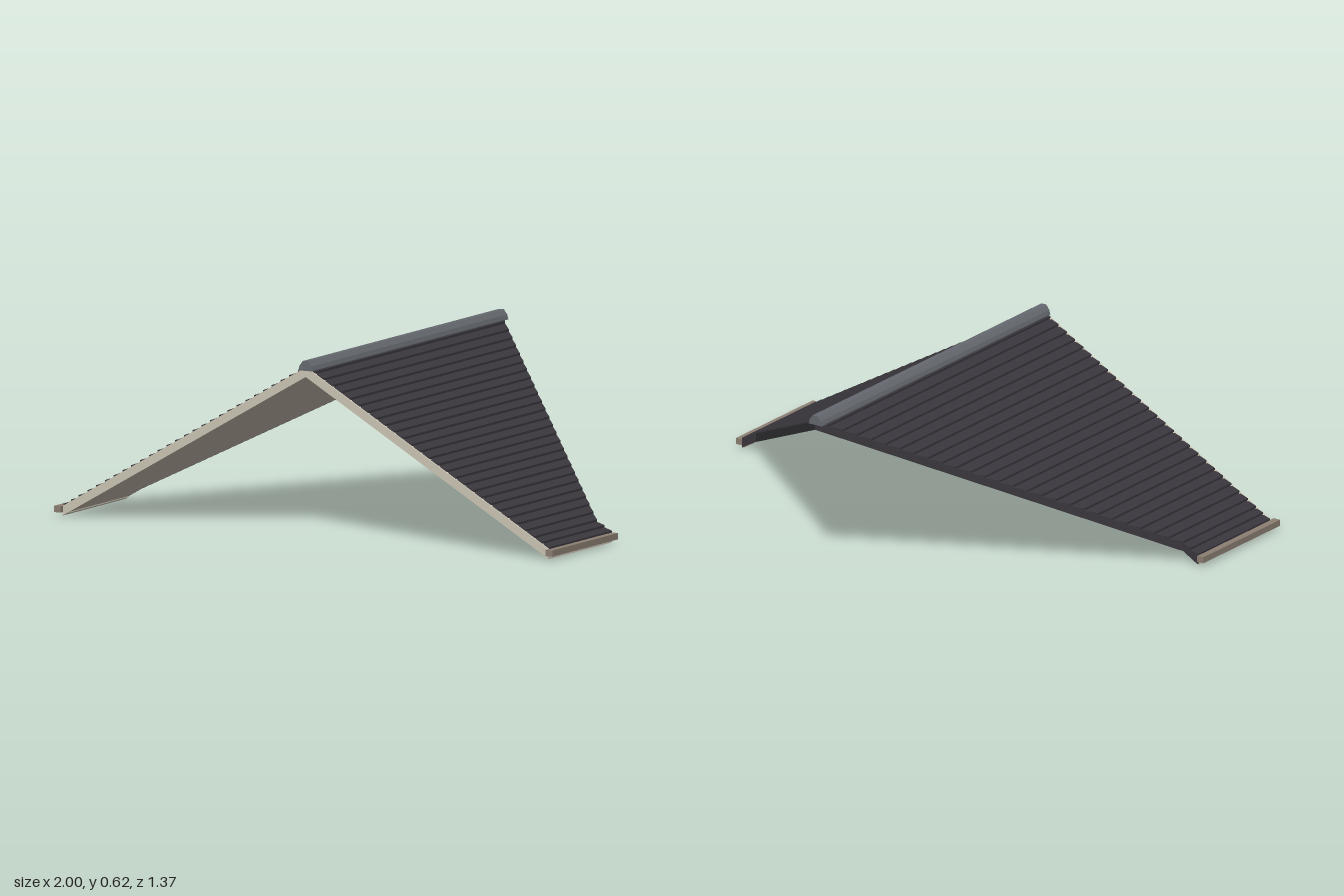
import * as THREE from 'three';

const PITCH = Math.tan(Math.PI / 6); // 30 degree roof
const EAVE = 0.975, NOTCH = 0.915, FRONT = 0.667;

const material = (name, color) => {
  const m = new THREE.MeshStandardMaterial({ color });
  m.name = name;
  return m;
};

// Plan outline [x, z] extruded between two heights that depend on |x|
function planPrism(name, outline, side, bottom, top, mat) {
  const shape = new THREE.Shape(outline.map(([x, z]) => new THREE.Vector2(side * x, -z)));
  const geo = new THREE.ExtrudeGeometry(shape, { depth: 1, bevelEnabled: false });
  const p = geo.attributes.position;
  for (let i = 0; i < p.count; i++) {
    const x = p.getX(i), z = -p.getY(i), a = Math.abs(x);
    p.setXYZ(i, x, p.getZ(i) > 0.5 ? top(a) : bottom(a), z);
  }
  geo.computeVertexNormals();
  const mesh = new THREE.Mesh(geo, mat);
  mesh.name = name;
  return mesh;
}

const slope = (h) => (x) => h - PITCH * x;
// Rear edge: diagonal from the ridge tip to a short straight eave
const rear = (x) => Math.min(-0.685 + x, 0.23);

export function createModel() {
  const tile = material('dark tile', 0x39373d);
  const cap = material('ridge grey', 0x666a70);
  const cream = material('cream board', 0xcdc6b6);
  const gutterMat = material('gutter taupe', 0x8c8072);
  const roof = new THREE.Group();
  roof.name = 'gableRoof';

  for (const side of [1, -1]) {
    const half = new THREE.Group();
    half.name = side > 0 ? 'leftSlope' : 'rightSlope';

    // Deck with cream underside
    const inset = 0.006;
    half.add(planPrism('deck', [
      [0, 0.655], [EAVE, 0.655], [EAVE, 0.23 + inset], [NOTCH, 0.23 + inset], [0, -0.685 + inset],
    ], side, slope(0.567), slope(0.594), cream));

    // Dark trim along the rear edge
    half.add(planPrism('rearTrim', [
      [0, -0.685], [NOTCH, 0.23], [EAVE, 0.23], [EAVE, 0.23 + inset], [NOTCH, 0.23 + inset], [0, -0.685 + inset],
    ], side, slope(0.567), slope(0.595), tile));

    // Barge board on the front gable and fascia on the eave
    half.add(planPrism('bargeBoard', [
      [0, FRONT], [EAVE, FRONT], [EAVE, 0.655], [0, 0.655],
    ], side, slope(0.563), slope(0.597), cream));
    half.add(planPrism('fascia', [
      [EAVE - 0.012, 0.655], [EAVE, 0.655], [EAVE, 0.236], [EAVE - 0.012, 0.236],
    ], side, slope(0.563), slope(0.596), cream));

    // Overlapping tile courses, each thicker at its lower edge
    const edges = [];
    for (let i = 0; i <= 26; i++) edges.push(NOTCH * i / 26);
    edges.push(0.945, EAVE);
    for (let i = 0; i < edges.length - 1; i++) {
      const a = edges[i], b = edges[i + 1];
      const top = (x) => 0.596 + 0.008 * (x - a) / (b - a) - PITCH * x;
      half.add(planPrism('tileCourse', [
        [a, 0.66], [b, 0.66], [b, rear(b)], [a, rear(a)],
      ], side, slope(0.594), top, tile));
    }

    // Eave gutter
    const gutter = new THREE.Mesh(new THREE.BoxGeometry(0.027, 0.022, 0.455), gutterMat);
    gutter.name = 'gutter';
    gutter.position.set(side * 0.9865, 0.024, 0.4575);
    half.add(gutter);
    roof.add(half);
  }

  // Faceted ridge cap
  const profile = [[-0.028, 0.585], [0.028, 0.585], [0.023, 0.602], [0.01, 0.619], [-0.01, 0.619], [-0.023, 0.602]];
  const ridge = new THREE.Mesh(new THREE.ExtrudeGeometry(
    new THREE.Shape(profile.map(([x, y]) => new THREE.Vector2(x, y))),
    { depth: 1.355, bevelEnabled: false }), cap);
  ridge.name = 'ridgeCap';
  ridge.position.z = -0.685;
  roof.add(ridge);
  return roof;
}
